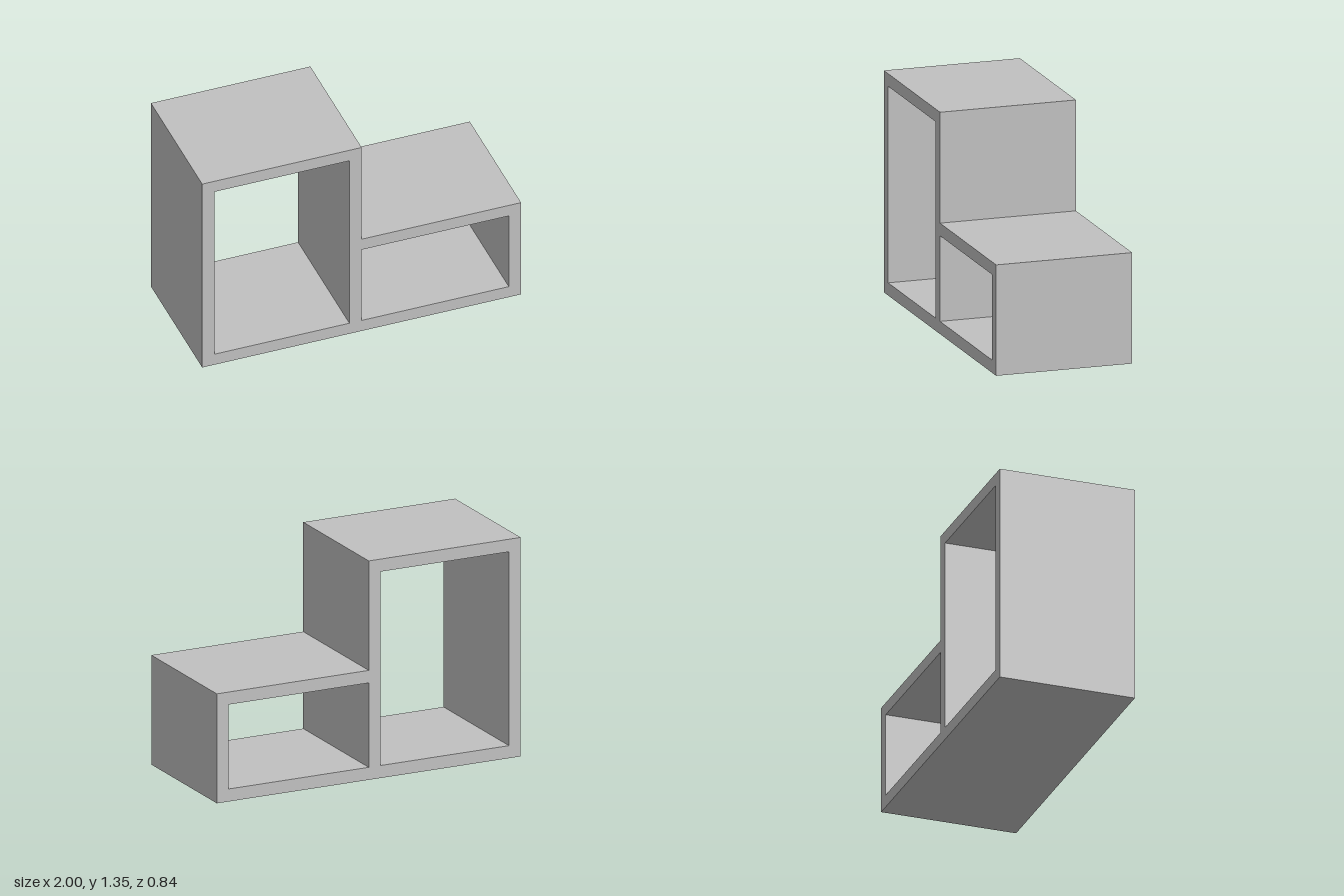
import * as THREE from 'three';

const DEPTH = 0.844;

// Closed rectangular opening
function opening(x0, x1, y0, y1) {
  return new THREE.Path([
    new THREE.Vector2(x0, y0),
    new THREE.Vector2(x0, y1),
    new THREE.Vector2(x1, y1),
    new THREE.Vector2(x1, y0),
  ]);
}

export function createModel() {
  const model = new THREE.Group();
  model.name = 'steppedShelf';

  const grey = new THREE.MeshStandardMaterial({ color: 0xc0c0c0 });
  grey.name = 'light grey';

  // Stepped outline: tall bay on the -x side, low bay on the +x side
  const outline = new THREE.Shape([
    new THREE.Vector2(-1, 0),
    new THREE.Vector2(1, 0),
    new THREE.Vector2(1, 0.673),
    new THREE.Vector2(0, 0.673),
    new THREE.Vector2(0, 1.346),
    new THREE.Vector2(-1, 1.346),
  ]);

  // Compartments open through front and back
  outline.holes.push(
    opening(-0.923, -0.077, 0.077, 1.269), // tall bay
    opening(0, 0.923, 0.077, 0.596), // low bay
  );

  // Shelf frame, centred in depth
  const geometry = new THREE.ExtrudeGeometry(outline, { depth: DEPTH, bevelEnabled: false });
  geometry.translate(0, 0, -DEPTH / 2);
  const frame = new THREE.Mesh(geometry, grey);
  frame.name = 'shelfFrame';
  model.add(frame);

  return model;
}
